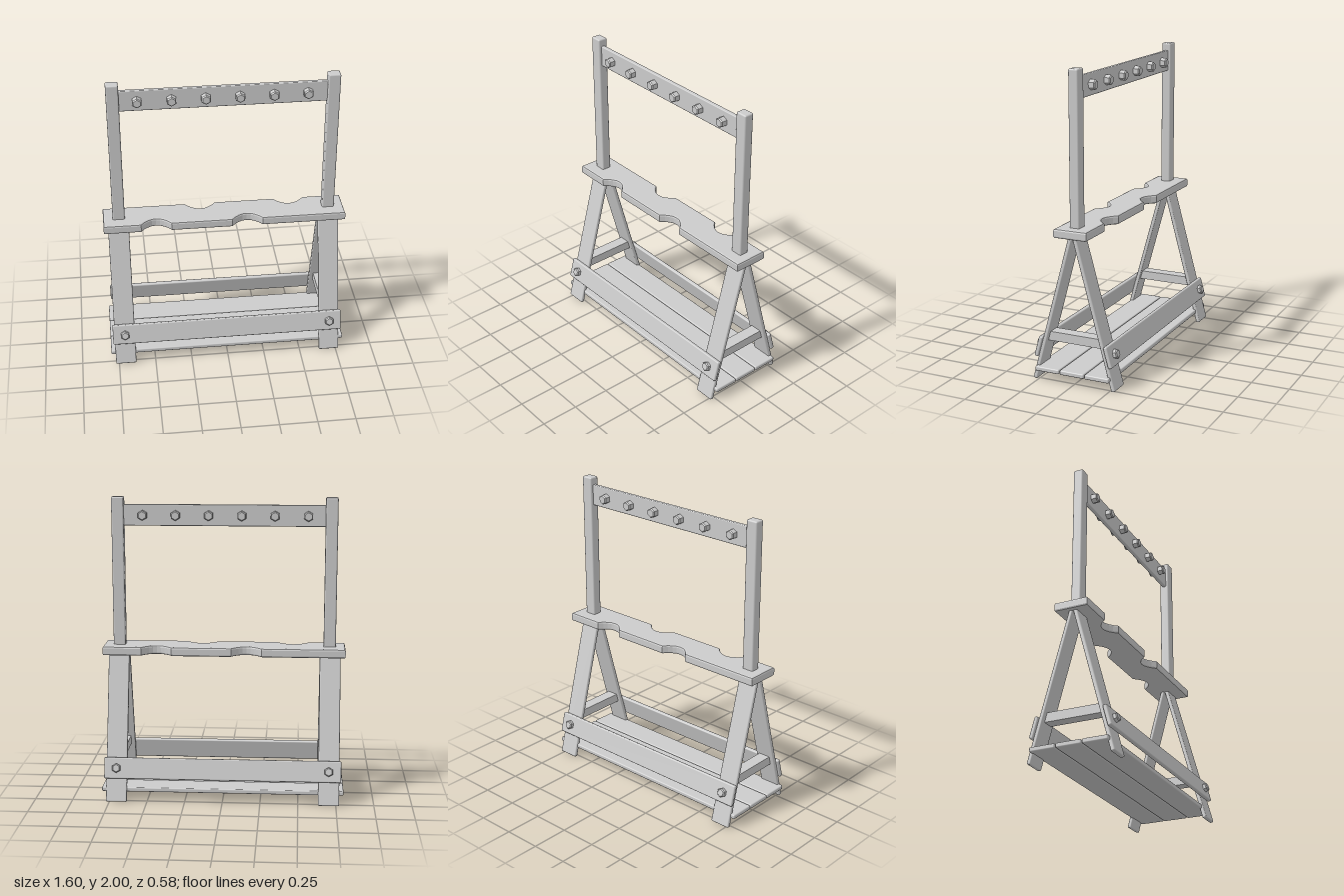
import * as THREE from 'three';
import { RoundedBoxGeometry } from 'three/addons/geometries/RoundedBoxGeometry.js';

const material = new THREE.MeshStandardMaterial({ color: 0xcccccc });
const flatMaterial = new THREE.MeshStandardMaterial({ color: 0xcccccc, flatShading: true });

function add(parent, name, geometry, x, y, z, mat = material) {
  const mesh = new THREE.Mesh(geometry, mat);
  mesh.name = name;
  mesh.position.set(x, y, z);
  parent.add(mesh);
  return mesh;
}

// Plank or post with softened edges
function plank(parent, name, w, h, d, x, y, z, r = 0.008) {
  return add(parent, name, new RoundedBoxGeometry(w, h, d, 2, r), x, y, z);
}

// Hexagonal peg along z, chamfered at both ends
function hexPeg(radius, length) {
  const h = length / 2, c = 0.007;
  const profile = [[0, -h], [radius - c, -h], [radius, c - h], [radius, h - c], [radius - c, h], [0, h]]
    .map(([x, y]) => new THREE.Vector2(x, y));
  return new THREE.LatheGeometry(profile, 6).rotateX(Math.PI / 2);
}

// Shelf outline with two scooped notches on each long edge
function shelfGeometry() {
  const halfW = 0.8, halfD = 0.113, depth = 0.06, bevel = 0.012;
  const scoop = [[-0.1, 0], [-0.075, 0.028], [-0.052, 0.046], [-0.027, 0.059], [0, 0.063],
    [0.027, 0.059], [0.052, 0.046], [0.075, 0.028], [0.1, 0]];
  const points = [[-halfW, -halfD]];
  for (const cx of [-0.455, 0.147]) {
    for (const [x, d] of scoop) points.push([cx + x, -halfD + d]);
  }
  points.push([halfW, -halfD], [halfW, halfD]);
  for (const cx of [0.445, -0.15]) {
    for (const [x, d] of scoop) points.push([cx - x, halfD - d]);
  }
  points.push([-halfW, halfD]);
  const shape = new THREE.Shape(points.map(([x, y]) => new THREE.Vector2(x, y)));
  return new THREE.ExtrudeGeometry(shape, {
    depth: depth - 2 * bevel, bevelEnabled: true, bevelThickness: bevel,
    bevelSize: bevel, bevelOffset: -bevel, bevelSegments: 2,
  }).translate(0, 0, bevel).rotateX(-Math.PI / 2);
}

// Brace whose ends are cut to the slope of the legs
function braceGeometry(width) {
  const shape = new THREE.Shape([[-0.2, 0.265], [0.2, 0.265], [0.184, 0.325], [-0.184, 0.325]]
    .map(([z, y]) => new THREE.Vector2(z, y)));
  return new THREE.ExtrudeGeometry(shape, { depth: width, bevelEnabled: false })
    .translate(0, 0, -width / 2).rotateY(-Math.PI / 2);
}

export function createModel() {
  const model = new THREE.Group();
  model.name = 'rack';

  // Sloping legs with a long side board and bolts, front and back
  for (const [name, turn] of [['front', 0], ['back', Math.PI]]) {
    const side = new THREE.Group();
    side.name = name + 'Side';
    side.rotation.y = turn;
    const slope = new THREE.Group();
    slope.name = name + 'Slope';
    slope.position.set(0, 0.22, 0.2175);
    slope.rotation.x = -0.267;
    side.add(slope);
    for (const s of [-1, 1]) {
      plank(slope, name + 'Leg', 0.138, 0.997, 0.027, s * 0.702, 0.2745, 0);
      add(slope, name + 'Bolt', hexPeg(0.031, 0.05), s * 0.7, 0, 0.041, flatMaterial);
    }
    plank(slope, name + 'SideBoard', 1.565, 0.14, 0.027, 0, 0, 0.026);
    model.add(side);
  }

  // Braces between the legs
  for (const s of [-1, 1]) add(model, 'legBrace', braceGeometry(0.08), s * 0.7, 0, 0);

  // Bottom shelf of three planks
  for (const i of [-1, 0, 1]) {
    plank(model, 'bottomPlank', 1.6, 0.03, 0.169, 0, 0.083, i * 0.174);
  }

  // Notched middle shelf
  add(model, 'notchedShelf', shelfGeometry(), 0, 0.96, 0);

  // Upright posts
  for (const s of [-1, 1]) {
    plank(model, 'post', 0.08, 0.99, 0.066, s * 0.697, 1.505, 0, 0.01);
  }

  // Top rail and its row of pegs
  plank(model, 'topRail', 1.33, 0.14, 0.028, 0, 1.88, 0, 0.006);
  for (let i = 0; i < 6; i++) {
    add(model, 'peg', hexPeg(0.033, 0.112), -0.546 + i * 0.2157, 1.88, 0, flatMaterial);
  }

  return model;
}
